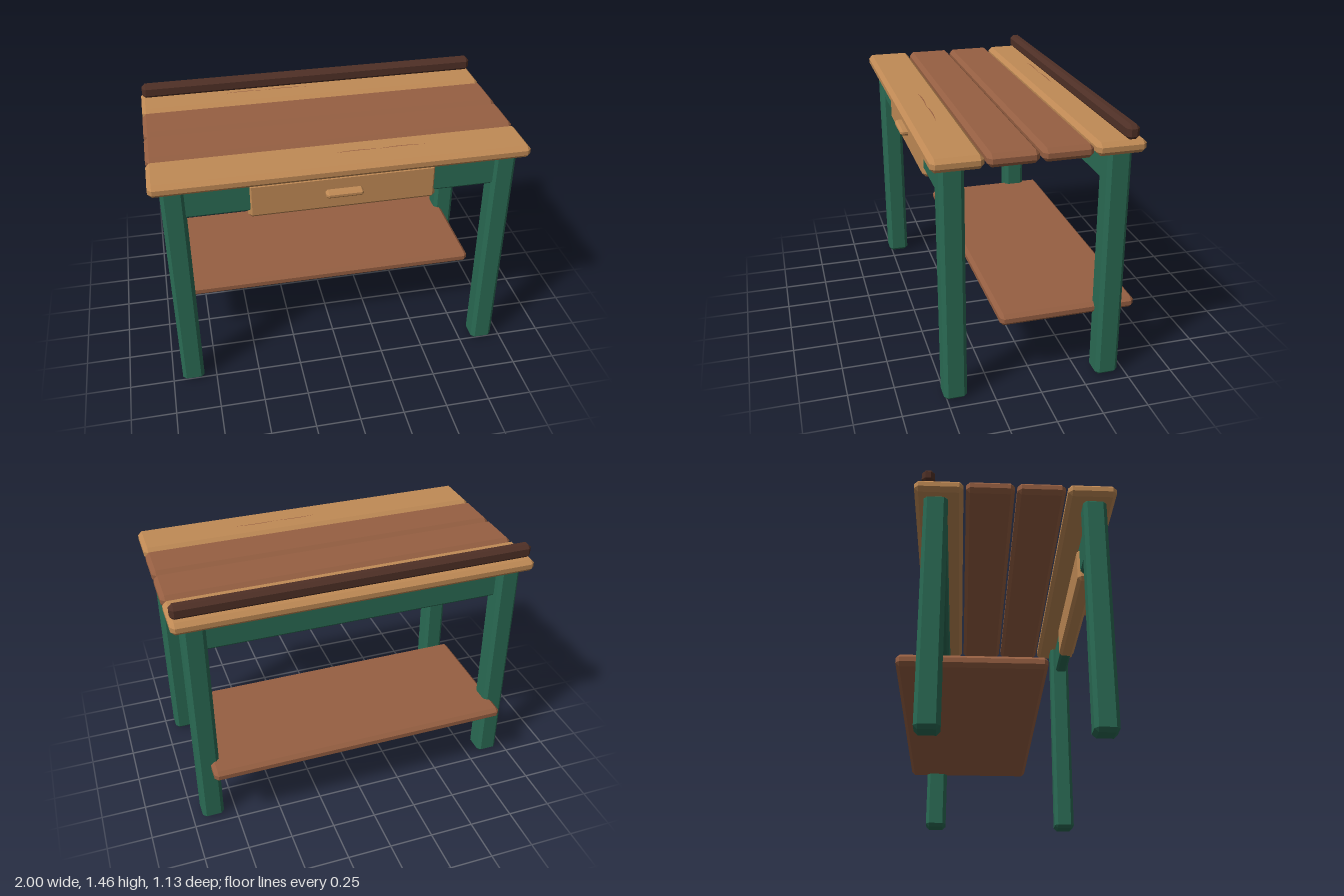
import * as THREE from 'three';
import { ConvexGeometry } from 'three/addons/geometries/ConvexGeometry.js';

const mat = (name, color) => {
  const m = new THREE.MeshStandardMaterial({ color });
  m.name = name;
  return m;
};

// Box with all edges chamfered by c, given by its limits on each axis
function chamferBox([x0, x1], [y0, y1], [z0, z1], c) {
  const pts = [];
  for (const [x, sx] of [[x0, 1], [x1, -1]])
    for (const [y, sy] of [[y0, 1], [y1, -1]])
      for (const [z, sz] of [[z0, 1], [z1, -1]])
        pts.push(
          new THREE.Vector3(x, y + sy * c, z + sz * c),
          new THREE.Vector3(x + sx * c, y, z + sz * c),
          new THREE.Vector3(x + sx * c, y + sy * c, z));
  return new ConvexGeometry(pts);
}

// Flat tapering sliver that bows towards the back, lying on the table top
function grainSliver(length) {
  const s = new THREE.Shape();
  s.moveTo(0, 0);
  s.quadraticCurveTo(length * 0.4, 0.022, length, 0);
  s.quadraticCurveTo(length * 0.4, 0.009, 0, 0);
  return new THREE.ShapeGeometry(s, 10).rotateX(-Math.PI / 2);
}

export function createModel() {
  const group = new THREE.Group();
  group.name = 'workbench';
  const tan = mat('light wood', 0xc08a55);
  const brown = mat('brown wood', 0x965f42);
  const dark = mat('dark wood', 0x4f3026);
  const green = mat('green paint', 0x2a6b54);

  const add = (name, geometry, material) => {
    const mesh = new THREE.Mesh(geometry, material);
    mesh.name = name;
    group.add(mesh);
    return mesh;
  };
  const part = (name, x, y, z, c, material) => add(name, chamferBox(x, y, z, c), material);

  // Four table-top planks, the outer two lighter
  [[0.305, 0.565, tan], [0.035, 0.293, brown], [-0.237, 0.022, brown], [-0.51, -0.25, tan]]
    .forEach(([z0, z1, m], i) => part(`topPlank${i + 1}`, [-1, 1], [1.31, 1.38], [z0, z1], 0.022, m));

  // Rail along the back edge
  part('backRail', [-0.99, 0.99], [1.375, 1.455], [-0.472, -0.403], 0.02, dark);

  // Legs
  for (const [side, x0, x1] of [['left', 0.82, 0.945], ['right', -0.945, -0.82]]) {
    part(`${side}FrontLeg`, [x0, x1], [0, 1.325], [0.39, 0.515], 0.02, green);
    part(`${side}BackLeg`, [x0, x1], [0, 1.325], [-0.46, -0.332], 0.02, green);
  }

  // Aprons under the top
  part('frontApron', [-0.86, 0.86], [1.13, 1.325], [0.425, 0.5], 0.015, green);
  part('backApron', [-0.86, 0.86], [1.13, 1.325], [-0.41, -0.335], 0.015, green);

  // Drawer and handle
  part('drawer', [-0.505, 0.505], [1.092, 1.3], [0.41, 0.508], 0.02, tan);
  part('drawerHandle', [-0.1, 0.1], [1.184, 1.22], [0.495, 0.55], 0.012, tan);

  // Low shelf
  part('shelf', [-0.87, 0.87], [0.355, 0.42], [-0.565, 0.19], 0.02, brown);

  // Wood grain on the light planks
  for (const [x, z] of [[-0.03, 0.422], [-0.52, -0.375]])
    for (const [dx, len] of [[0, 0.25], [0.23, 0.26]])
      add('grainLine', grainSliver(len), brown).position.set(x + dx, 1.382, z);

  return group;
}
